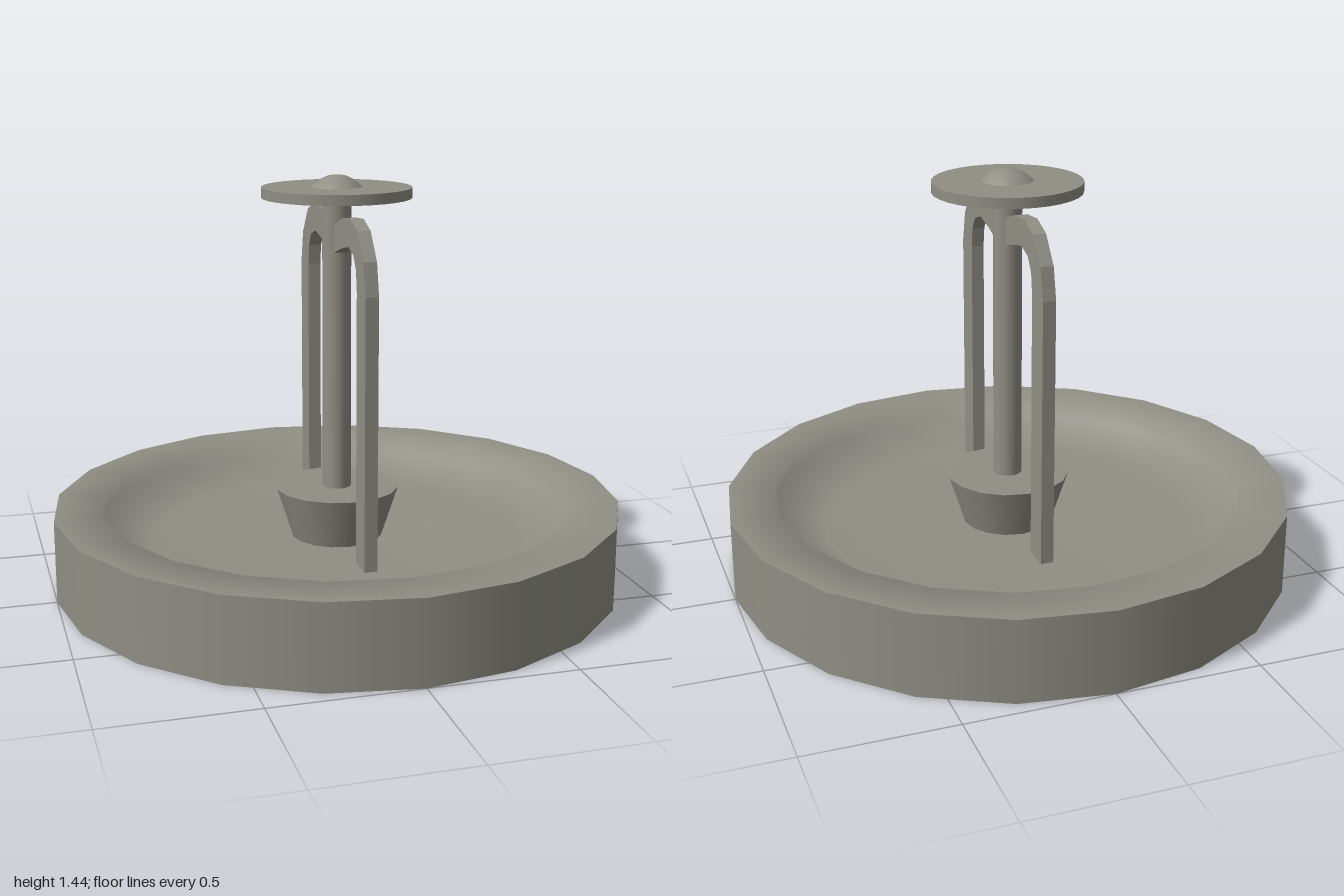
import * as THREE from 'three';

export function createModel() {
  const group = new THREE.Group();
  const metal = new THREE.MeshStandardMaterial({ color: 0x908f85 });
  metal.name = 'greyMetal';

  const add = (name, geometry, y = 0) => {
    const mesh = new THREE.Mesh(geometry, metal);
    mesh.name = name;
    mesh.position.y = y;
    group.add(mesh);
    return mesh;
  };
  const lathe = (name, points, sides) =>
    add(name, new THREE.LatheGeometry(points.map(([r, y]) => new THREE.Vector2(r, y)), sides));

  // Round tray: underside, outer wall, then rim with an undercut lip and shallow floor
  lathe('trayUnderside', [[0, 0], [1, 0]], 20);
  lathe('trayWall', [[1, 0], [1, 0.29]], 20);
  lathe('trayRimAndFloor', [[1, 0.29], [0.83, 0.29], [0.86, 0.22], [0.66, 0.16], [0, 0.16]], 20);

  // Flared collar and central post
  add('collar', new THREE.CylinderGeometry(0.218, 0.16, 0.18, 16), 0.25);
  add('post', new THREE.CylinderGeometry(0.05, 0.05, 1.21, 20), 0.765);

  // Top disc with a domed cap
  add('topDisc', new THREE.CylinderGeometry(0.258, 0.258, 0.036, 32), 1.382);
  lathe('domeCap', [[0.088, 1.4], [0.075, 1.412], [0.055, 1.427], [0.03, 1.438], [0, 1.442]], 24);

  // Two bent arms rising from the floor to the post, drawn in the side plane
  const outline = [
    [0.41, 0.16], [0.41, 1.09], [0.385, 1.2], [0.315, 1.29], [0.235, 1.32],
    [0.14, 1.312], [0.03, 1.275], [0.01, 1.275],
    [0.01, 1.17], [0.03, 1.178], [0.125, 1.208], [0.21, 1.225], [0.27, 1.205],
    [0.3, 1.16], [0.31, 1.09], [0.31, 0.16],
  ];
  for (const side of [1, -1]) {
    const shape = new THREE.Shape(outline.map(([z, y]) => new THREE.Vector2(-side * z, y)));
    const geometry = new THREE.ExtrudeGeometry(shape, { depth: 0.045, bevelEnabled: false });
    geometry.translate(0, 0, -0.0225).rotateY(Math.PI / 2);
    const arm = add(side > 0 ? 'frontArm' : 'backArm', geometry);
    arm.position.z = 0.01;
  }
  return group;
}
